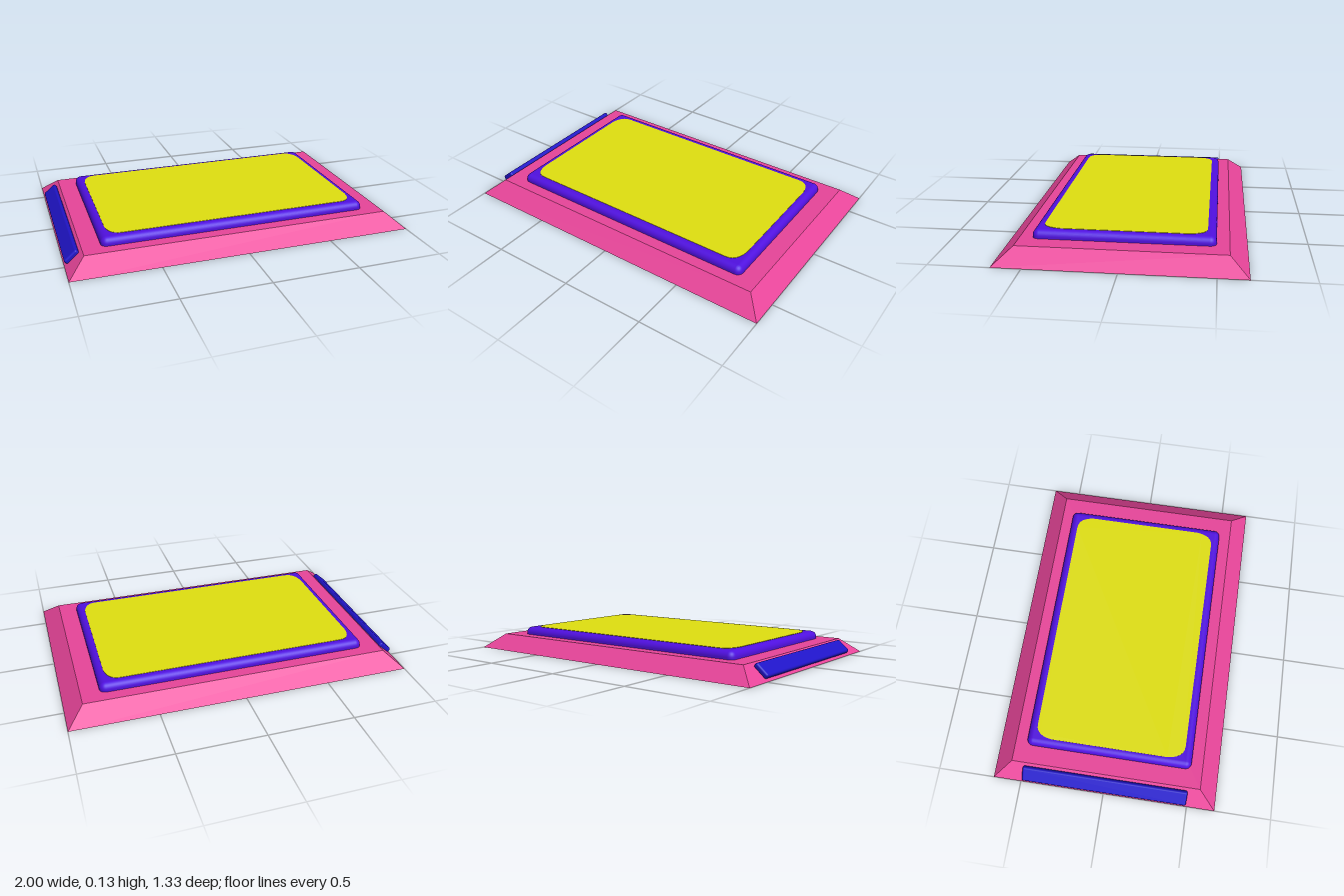
import * as THREE from 'three';
import { RoundedBoxGeometry } from 'three/addons/geometries/RoundedBoxGeometry.js';

export function createModel() {
  const group = new THREE.Group();
  const add = (name, geometry, color) => {
    const mesh = new THREE.Mesh(geometry, new THREE.MeshStandardMaterial({ color }));
    mesh.name = name;
    group.add(mesh);
    return mesh;
  };

  // Base: a flat box whose top face is drawn in to make sloping sides
  const base = new THREE.BoxGeometry(2, 0.086, 1.332);
  base.translate(0, 0.043, 0);
  const p = base.attributes.position;
  for (let i = 0; i < p.count; i++) {
    if (p.getY(i) > 0.04) {
      p.setX(i, Math.sign(p.getX(i)) * 0.9);
      p.setZ(i, Math.sign(p.getZ(i)) * 0.563);
    }
  }
  base.computeVertexNormals();
  add('base', base, 0xe8459a);

  // Rounded frame, sunk partly into the base
  add('frame', new RoundedBoxGeometry(1.588, 0.09, 0.988, 4, 0.036), 0x5010e0)
    .position.y = 0.0875;

  // Screen: thin panel with softened corners, flush with the frame top
  const w = 0.75, d = 0.445, cx = 0.08, cz = 0.1;
  const outline = new THREE.Shape();
  outline.moveTo(-w + cx, -d);
  outline.lineTo(w - cx, -d);
  outline.quadraticCurveTo(w - 0.01, -d, w, -d + cz);
  outline.lineTo(w, d - cz);
  outline.quadraticCurveTo(w - 0.01, d, w - cx, d);
  outline.lineTo(-w + cx, d);
  outline.quadraticCurveTo(-w + 0.01, d, -w, d - cz);
  outline.lineTo(-w, -d + cz);
  outline.quadraticCurveTo(-w + 0.01, -d, -w + cx, -d);
  const screen = new THREE.ExtrudeGeometry(outline, { depth: 0.02, bevelEnabled: false, curveSegments: 6 });
  screen.rotateX(-Math.PI / 2);
  add('screen', screen, 0xe0e010).position.y = 0.1145;

  // Side bar lying along the right-hand slope
  const bar = add('sideBar', new RoundedBoxGeometry(0.094, 0.032, 0.986, 4, 0.012), 0x2014c8);
  bar.position.set(-0.957, 0.05, 0);
  bar.rotation.z = Math.atan2(0.086, 0.1);

  return group;
}
